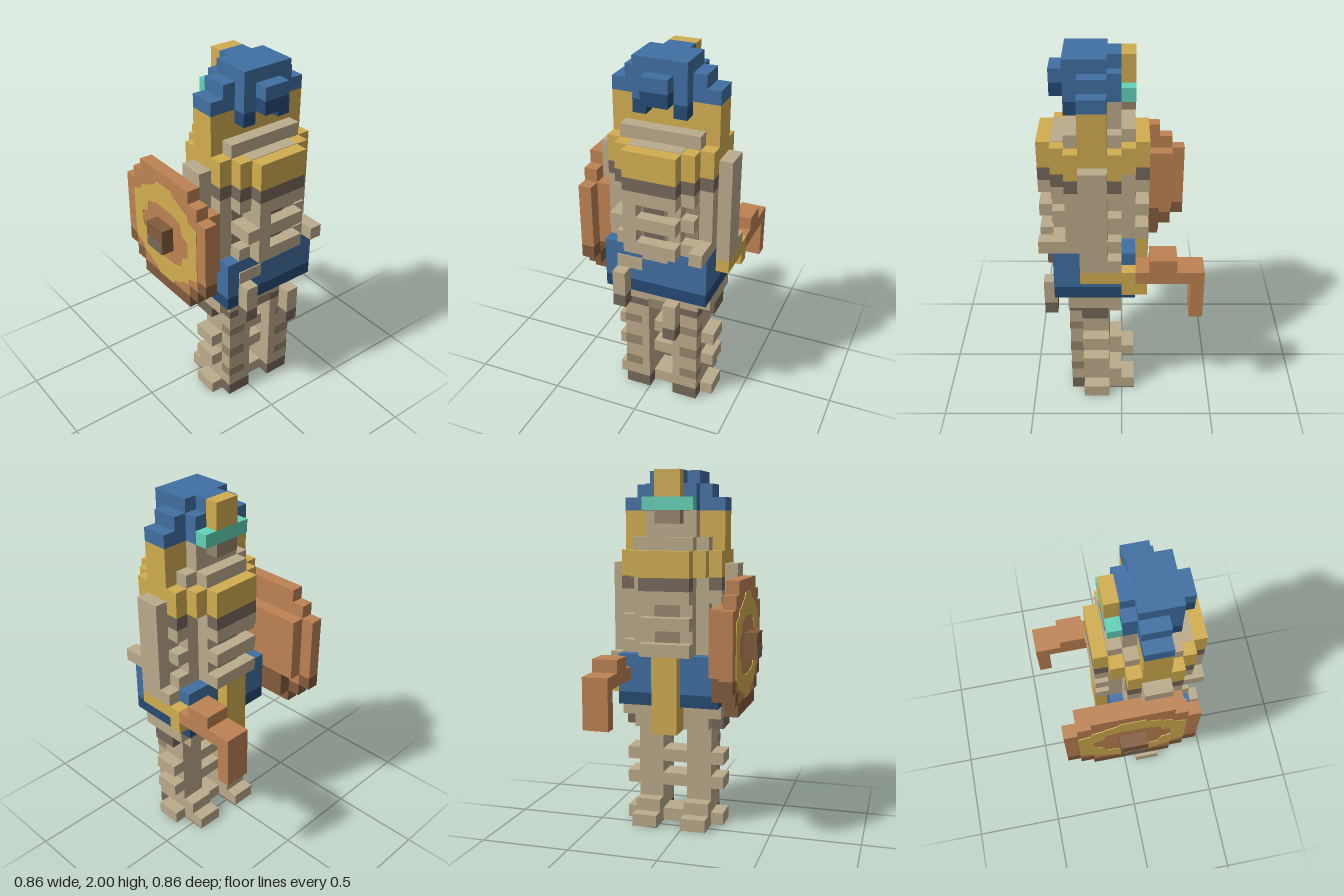
import * as THREE from 'three';

const U = 2 / 28; // edge of one cube

const mat = (name, color) => {
  const m = new THREE.MeshStandardMaterial({ color });
  m.name = name;
  return m;
};

export function createModel() {
  const root = new THREE.Group();
  root.name = 'figure';
  const tan = mat('bandage', 0xbbab8b), mid = mat('bandageStain', 0x96866c), shade = mat('bandageShade', 0x75685a);
  const gold = mat('gold', 0xd2ae50), blue = mat('blue', 0x4070a3), navy = mat('navy', 0x264b76);
  const wood = mat('wood', 0xbe8353), darkWood = mat('darkWood', 0x835c3c), teal = mat('teal', 0x62d3b8);

  // Box from cube-grid limits; y counts up from the floor
  let part = root;
  const box = (name, m, x0, x1, y0, y1, z0, z1) => {
    const g = new THREE.BoxGeometry((x1 - x0) * U, (y1 - y0) * U, (z1 - z0) * U);
    const mesh = new THREE.Mesh(g, m);
    mesh.position.set((x0 + x1) / 2 * U, (y0 + y1) / 2 * U, (z0 + z1) / 2 * U);
    mesh.name = name;
    part.add(mesh);
  };
  // Same box on both sides of the body's middle plane, z = -1
  const pair = (name, m, x0, x1, y0, y1, z0, z1) => {
    box(name, m, x0, x1, y0, y1, z0, z1);
    box(name, m, x0, x1, y0, y1, -2 - z1, -2 - z0);
  };
  // Same shield box on both sides of x = 0
  const pairX = (name, m, x0, x1, y0, y1) => {
    box(name, m, x0, x1, y0, y1, 4, 5);
    box(name, m, -x1, -x0, y0, y1, 4, 5);
  };
  const group = (name) => {
    part = new THREE.Group();
    part.name = name;
    root.add(part);
  };
  // Stepped round slab centred on x = 2, z = -1, with half-widths r, r-1, r-2
  const round = (name, m, y0, y1, r) => {
    for (let i = 0; i < 3; i++) box(name, m, 2 - r + i, 2 + r - i, y0, y1, -3 - i, 1 + i);
  };

  // Legs with wrapped bands and feet
  group('legs');
  pair('leg', tan, 1, 4, 1, 8, 0, 2);
  pair('foot', tan, -1, 3, 0, 1, 0, 2);
  pair('heel', shade, 3, 4, 0, 1, 0, 2);
  pair('instep', tan, 0, 1, 1, 2, 0, 2);
  pair('sole', shade, -1, 3, 0, 0.06, -0.02, 2.02);
  for (const y of [0, 3, 5]) {
    pair('legBand', tan, 1, 3, y, y + 1, 2, 3);
    pair('innerBand', tan, 1, 3, y, y + 1, -1, 0);
  }
  for (const [y, h] of [[2, 0.8], [4, 0.9], [6.2, 0.7]]) pair('legStain', mid, 3, 4.03, y, y + h, 0.6, 2.02);

  // Ragged skirt wraps
  group('skirt');
  box('skirtTop', tan, 0, 4, 9, 10, -5, 3);
  box('skirtBottom', tan, 0, 4, 8, 9, -4, 2);
  pair('skirtTab', shade, 1, 3, 8, 9, 2, 3);
  pair('skirtHem', shade, 3, 4.03, 8, 8.6, 0, 2.03);
  box('skirtStain', mid, 3, 4.03, 8, 8.8, -2, 0);
  box('loinCloth', gold, -2, -1, 8, 14, -2, 0);
  box('loinClothBack', gold, -1, 0, 8, 10, -2, 0);

  // Sash
  group('sash');
  box('sash', blue, -1, 5, 11, 13, -5, 3);
  box('sashHem', navy, -1, 5, 10, 11, -5, 3);
  pair('sashTop', blue, -1, 5, 13, 14, 0, 3);
  box('waist', tan, -1, 5, 13, 14, -2, 0);
  box('sashKnot', tan, 5, 5.1, 12, 13, 0, 2);
  box('backStrip', tan, 5, 6, 10, 12, 1, 2);
  box('backStripEnd', shade, 5, 6, 9, 10, 1, 2);
  box('shortStrip', tan, 5, 6, 8, 10, -3, -2);
  box('shortStripEnd', shade, 5, 6, 7, 8, -3, -2);

  // Bandaged torso: narrow core with wider broken rows
  group('torso');
  round('chest', tan, 14, 20, 3);
  pair('chestSide', tan, 0, 4, 14, 20, 1, 2);
  for (const y of [14, 16, 18]) {
    box('wrapBack', tan, 5, 6, y, y + 1, -3, 1);
    box('wrapFront', tan, -2, -1, y, y + 1, -3, 1);
    pair('wrapCorner', tan, 4, 5, y, y + 1, 1, 2);
    pair('wrapSide', tan, 0, 4, y, y + 1, 2, 3);
  }
  for (const y of [15, 17]) {
    box('wrapGap', mid, 5, 5.05, y, y + 1, -2, 0);
    box('wrapGapShade', shade, 5, 5.08, y, y + 0.4, -1.8, -0.2);
    box('wrapGap', mid, -1.05, -1, y, y + 1, -2, 0);
    pair('cornerGap', mid, 4, 4.05, y, y + 1, 1, 2);
    box('looseWrap', tan, 5, 6, y, y + 1, 0, 1);
    pair('looseWrap', tan, 3, 4, y, y + 1, 2, 3);
  }
  box('looseEnd', tan, 4, 6, 14, 15, -5, -4);
  box('looseEnd', tan, 5, 6, 16, 17, 1, 2);
  for (const x of [-2, 5]) {
    box('collarTab', shade, x, x + 1, 19, 20, -2, 0);
    pair('collarTab', shade, x, x + 1, 19, 20, 0, 1);
  }
  pair('collarTab', shade, 3, 5, 19, 20, 1, 2);
  pair('collarTab', shade, 0, 1, 19, 20, 2, 3);
  pair('collarTab', shade, 3, 4, 19, 20, 2, 3);
  round('collar', gold, 20, 22, 4);
  box('neckWrap', tan, 0, 4, 22, 23, -4, 2);
  box('neckWrap', tan, -1, 4, 22, 23, -3, 1);
  box('napeWrap', tan, 4, 5, 21, 22.04, -3, 1);

  // Head and headdress
  group('head');
  box('face', tan, 0, 1, 23, 25, -3, 1);
  box('neckCloth', gold, 1, 3, 23, 25, -4, 2);
  box('nose', mid, -1, 0, 24, 25, -2, 0);
  box('eyes', teal, -1, 0, 25, 26, -3, 1);
  box('crest', gold, -1, 0, 26, 28, -2, 0);
  box('crown', blue, 1, 4, 25, 28, -3, 1);
  box('brow', blue, 0, 1, 25, 27, -3, 1);
  box('browTop', blue, 0, 1, 27, 28, -2, 0);
  pair('crownSide', blue, 1, 3, 25, 27, 1, 2);
  pair('crownFlap', blue, 1, 3, 25, 26, 2, 3);
  pair('lappet', gold, 1, 3, 22, 25, 2, 3);
  box('crownKnot', blue, 4, 5, 26, 27, -2, 0);
  box('crownKnotBase', navy, 4, 5, 25, 26, -2, 0);
  pair('napeTie', navy, 3, 4, 24, 25, 0, 1);

  // Arms
  group('arms');
  box('leftArm', tan, 1, 3, 14, 21, 3, 4);
  box('rightArm', tan, 1, 3, 13, 21, -6, -5);
  box('rightHand', tan, 0, 1, 13, 14, -6, -5);

  // Hooked sword
  group('sword');
  box('grip', gold, -1, 3, 12, 13, -6, -5);
  box('guard', gold, -1, 0, 11, 12, -6, -5);
  box('blade', wood, -5, -1, 12, 13, -6, -4);
  box('bladeRidge', wood, -4, -2, 13, 14, -6, -4);
  box('hook', wood, -6, -5, 9, 13, -6, -4);

  // Round shield: rows of [y0, y1, half-width]
  group('shield');
  for (const [y0, y1, w] of [[11, 12, 3], [12, 13, 4], [13, 18, 5], [18, 19, 4], [19, 20, 3]]) {
    box('shieldBoard', wood, -w, w, y0, y1, 4, 5);
  }
  pairX('shieldRim', darkWood, 4, 5, 12, 13);
  pairX('shieldRim', darkWood, 3, 4, 11, 12);
  box('shieldRim', darkWood, -3, 3, 10, 11, 4, 5);
  box('shieldBacking', wood, -4, 4, 13, 18, 3, 4);
  box('shieldBackingRim', darkWood, -3, 3, 11, 13, 3, 4);
  box('boss', darkWood, -1, 1, 14, 16, 5, 5.96);
  box('bossShade', shade, -0.9, 0.9, 14, 14.9, 5.9, 6);

  // Painted ring, from one quarter mirrored round
  const outline = (q) => {
    const rev = [...q].reverse();
    const pts = [...q, ...rev.map(([x, y]) => [-x, y]), ...q.map(([x, y]) => [-x, -y]), ...rev.map(([x, y]) => [x, -y])];
    return pts.map(([x, y]) => new THREE.Vector2(x * U, y * U));
  };
  const ring = new THREE.Shape(outline([[4, 2.1], [3.1, 2.4], [2.9, 2.9], [2.2, 3.1], [2, 3.3], [1.2, 3.6], [0.9, 4]]));
  ring.holes.push(new THREE.Path(outline([[2.9, 0.7], [2.2, 1], [2, 1.9], [1.2, 2.1], [1, 2.2]])));
  const paint = new THREE.Mesh(new THREE.ExtrudeGeometry(ring, { depth: 0.004, bevelEnabled: false }), gold);
  paint.position.set(0, 15 * U, 5 * U);
  paint.name = 'shieldRing';
  part.add(paint);

  return root;
}
